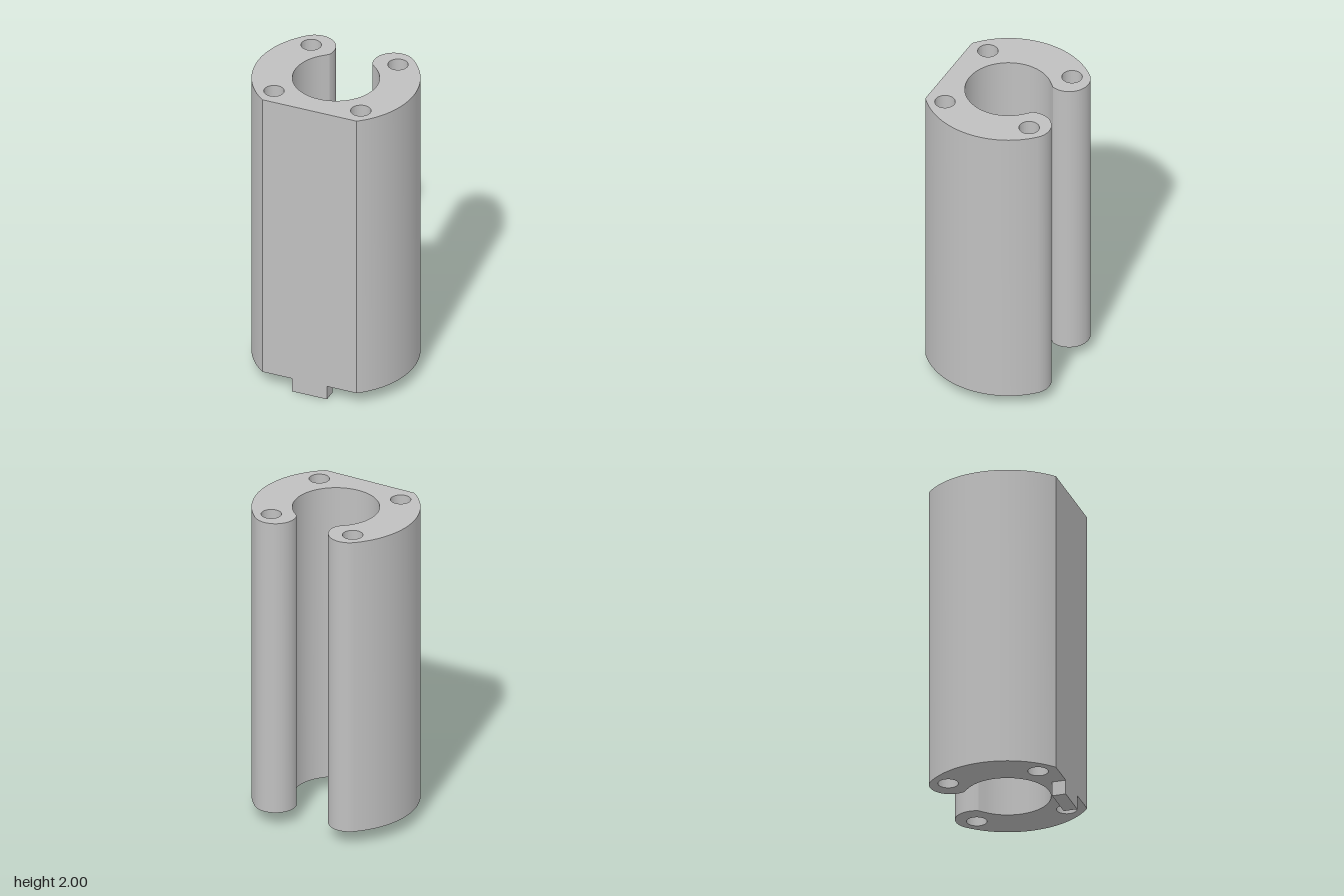
import * as THREE from 'three';
import { toCreasedNormals } from 'three/addons/utils/BufferGeometryUtils.js';

const BASE = 0.09, TOP = 2;          // body extents in y
const OUTER = 0.503, INNER = 0.26;   // shell radii
const FLAT = 0.4;                    // distance of the front flat
const LOBE = { x: 0.256, y: 0.275, r: 0.1275 };
const HOLE_X = 0.281, HOLE_Z = 0.281, HOLE_R = 0.061, DRILL_R = 0.042;

// C-shaped section, drawn with shape y = -z
function sectionShape() {
  const flatX = Math.sqrt(OUTER * OUTER - FLAT * FLAT);
  const flatAngle = Math.atan2(-FLAT, flatX);
  const tangent = Math.atan2(LOBE.y, LOBE.x);
  const lobeEnd = Math.PI + 0.4;
  const innerAngle = Math.atan2(0.197, 0.172);
  const s = new THREE.Shape();
  s.moveTo(-flatX, -FLAT);
  s.lineTo(flatX, -FLAT);
  s.absarc(0, 0, OUTER, flatAngle, tangent, false);
  s.absarc(LOBE.x, LOBE.y, LOBE.r, tangent, lobeEnd, false);
  s.absarc(0, 0, INNER, innerAngle, Math.PI - innerAngle, true);
  s.absarc(-LOBE.x, LOBE.y, LOBE.r, Math.PI - lobeEnd, Math.PI - tangent, false);
  s.absarc(0, 0, OUTER, Math.PI - tangent, Math.PI - flatAngle, false);
  for (const x of [-HOLE_X, HOLE_X]) {
    for (const y of [-HOLE_Z, HOLE_Z]) {
      const hole = new THREE.Path();
      hole.absarc(x, y, HOLE_R, 0, Math.PI * 2, true);
      s.holes.push(hole);
    }
  }
  return s;
}

export function createModel() {
  const model = new THREE.Group();
  model.name = 'slottedSleeve';
  const grey = new THREE.MeshStandardMaterial({ color: 0xc0c0c0 });
  grey.name = 'lightGrey';

  const add = (name, geometry, x = 0, y = 0, z = 0) => {
    const mesh = new THREE.Mesh(geometry, grey);
    mesh.name = name;
    mesh.position.set(x, y, z);
    model.add(mesh);
    return mesh;
  };

  // Sleeve body
  const body = new THREE.ExtrudeGeometry(sectionShape(), {
    depth: TOP - BASE, bevelEnabled: false, curveSegments: 48,
  });
  body.rotateX(-Math.PI / 2);
  add('sleeveBody', toCreasedNormals(body, 0.35), 0, BASE, 0);

  // Key tab under the front flat
  add('keyTab', new THREE.BoxGeometry(0.226, BASE, 0.085), 0, BASE / 2, FLAT - 0.0425);

  // Stepped, cone-ended floors of the screw holes at both ends
  const profile = [[HOLE_R, -0.2], [DRILL_R, -0.2], [DRILL_R, -0.3], [0, -0.326]]
    .map(([r, y]) => new THREE.Vector2(r, y));
  const floor = toCreasedNormals(new THREE.LatheGeometry(profile, 48), 0.35);
  for (const x of [-HOLE_X, HOLE_X]) {
    for (const z of [-HOLE_Z, HOLE_Z]) {
      add('topHoleFloor', floor, x, TOP, z);
      add('bottomHoleFloor', floor, x, BASE, z).rotation.x = Math.PI;
    }
  }
  return model;
}
